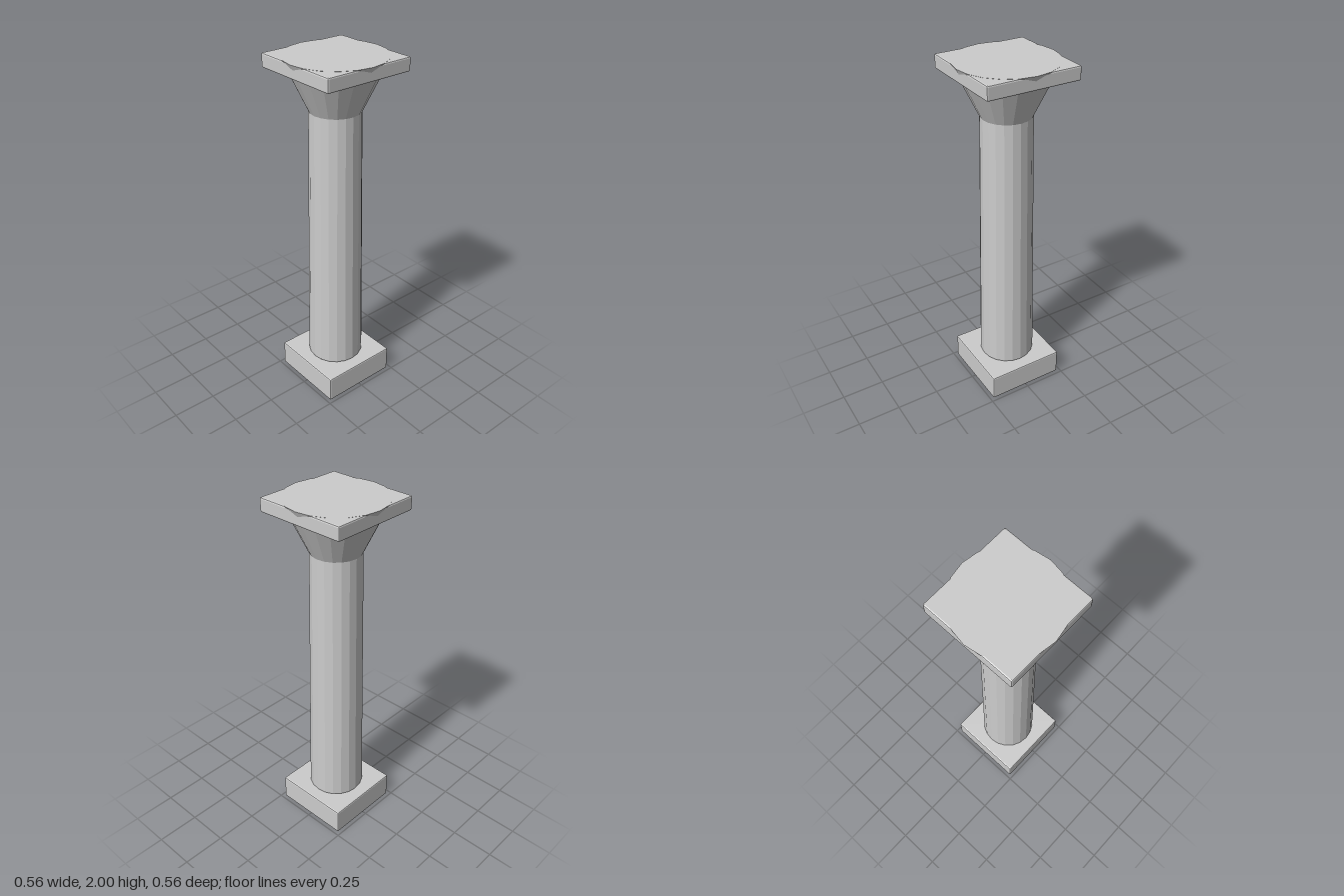
import * as THREE from 'three';
import { RoundedBoxGeometry } from 'three/addons/geometries/RoundedBoxGeometry.js';

const SIDES = 20;

export function createModel() {
  const column = new THREE.Group();
  column.name = 'column';

  const stone = new THREE.MeshStandardMaterial({ color: 0xcccccc, flatShading: true });
  stone.name = 'stone';

  const add = (name, geometry, y) => {
    const mesh = new THREE.Mesh(geometry, stone);
    mesh.name = name;
    mesh.position.y = y;
    column.add(mesh);
  };

  // Square slab with narrow bevelled edges, from y0 to y1
  const slab = (name, width, y0, y1) =>
    add(name, new RoundedBoxGeometry(width, y1 - y0, width, 1, 0.008), (y0 + y1) / 2);

  // Round part turned from [radius, y] points, closed at both ends
  const turned = (name, points) =>
    add(name, new THREE.LatheGeometry(points.map(([r, y]) => new THREE.Vector2(r, y)), SIDES), 0);

  slab('plinth', 0.46, 0, 0.155);

  // Tapering shaft with a small bevel at the foot
  turned('shaft', [[0, 0.15], [0.156, 0.15], [0.162, 0.162], [0.141, 1.71], [0, 1.71]]);

  // Flaring capital whose rim breaks through the sides of the top slab
  turned('capital', [[0, 1.708], [0.141, 1.708], [0.28, 2], [0, 2]]);

  slab('abacus', 0.532, 1.922, 1.999);

  return column;
}
